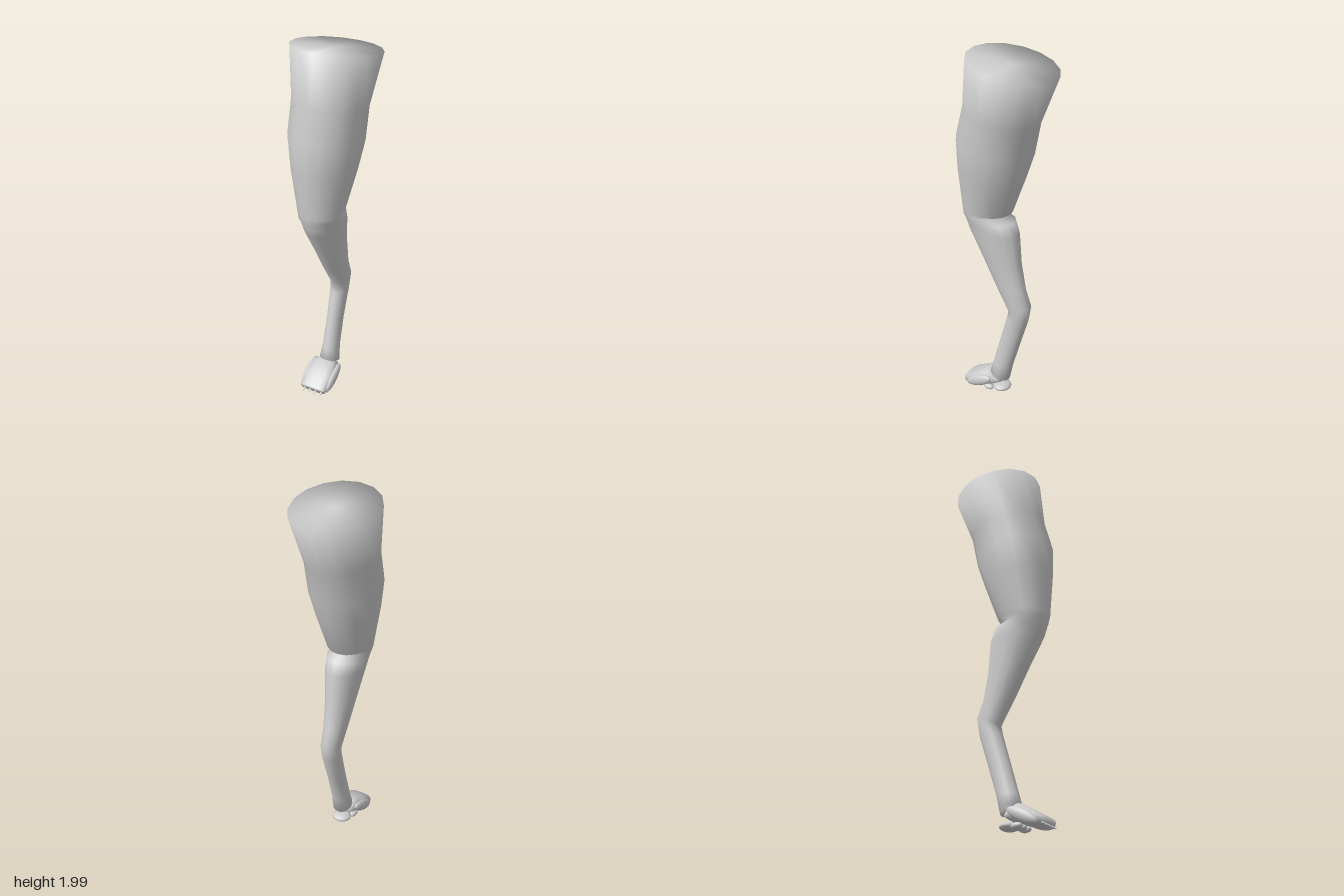
import * as THREE from 'three';

// Skin over rings [z1, y1, z2, y2, halfWidth]; each ring spans two points in the side plane
function loft(rings, sides, power = 1) {
  const pos = [], index = [];
  const bend = (v) => Math.sign(v) * Math.pow(Math.abs(v), power);
  for (const [z1, y1, z2, y2, w] of rings) {
    for (let j = 0; j < sides; j++) {
      const a = (j / sides) * Math.PI * 2, c = bend(Math.cos(a));
      pos.push(w * bend(Math.sin(a)), (y1 + y2) / 2 + c * (y1 - y2) / 2, (z1 + z2) / 2 + c * (z1 - z2) / 2);
    }
  }
  const last = (rings.length - 1) * sides, start = rings.length * sides;
  for (const [z1, y1, z2, y2] of [rings[0], rings[rings.length - 1]]) pos.push(0, (y1 + y2) / 2, (z1 + z2) / 2);
  for (let j = 0; j < sides; j++) {
    const k = (j + 1) % sides;
    for (let i = 0; i < last; i += sides) {
      index.push(i + j, i + sides + j, i + sides + k, i + j, i + sides + k, i + k);
    }
    index.push(start, j, k, start + 1, last + k, last + j);
  }
  const g = new THREE.BufferGeometry();
  g.setAttribute('position', new THREE.Float32BufferAttribute(pos, 3));
  g.setIndex(index);
  g.computeVertexNormals();
  return g;
}

export function createModel() {
  const group = new THREE.Group();
  const grey = new THREE.MeshStandardMaterial({ color: 0xcccccc });
  grey.name = 'light grey';

  const add = (name, geometry, x = 0, y = 0, z = 0, tilt = 0) => {
    const mesh = new THREE.Mesh(geometry, grey);
    mesh.name = name;
    mesh.position.set(x, y, z);
    mesh.rotation.x = tilt;
    group.add(mesh);
    return mesh;
  };
  const ball = (rx, ry, rz) => new THREE.SphereGeometry(1, 16, 10).scale(rx, ry, rz);

  // Thigh, knee fold, calf, hock and shin in one skin
  add('leg', loft([
    [0.193, 2.0, -0.277, 1.907, 0.228],
    [0.225, 1.73, -0.18, 1.66, 0.19],
    [0.272, 1.56, -0.145, 1.485, 0.19],
    [0.272, 1.39, -0.10, 1.35, 0.166],
    [0.257, 1.145, -0.024, 1.14, 0.118],
    [0.248, 1.11, 0.04, 1.125, 0.108],
    [0.238, 1.07, -0.05, 1.10, 0.106],
    [0.225, 1.025, -0.077, 1.035, 0.098],
    [0.13, 0.86, -0.093, 0.865, 0.078],
    [0.05, 0.71, -0.125, 0.717, 0.062],
    [-0.03, 0.575, -0.161, 0.627, 0.053],
    [-0.02, 0.53, -0.145, 0.53, 0.049],
    [0.03, 0.36, -0.093, 0.36, 0.043],
    [0.075, 0.2, -0.044, 0.2, 0.046],
    [0.09, 0.14, -0.02, 0.1, 0.055],
  ], 16));

  // Paw, sloping down to a blunt front
  add('paw', loft([
    [0.06, 0.13, 0.01, 0.085, 0.05],
    [0.10, 0.145, 0.05, 0.06, 0.072],
    [0.17, 0.105, 0.14, 0.03, 0.083],
    [0.246, 0.06, 0.222, 0.01, 0.075],
  ], 16, 0.75));

  // Outer toes on both sides
  for (const s of [1, -1]) add(s > 0 ? 'leftToe' : 'rightToe', ball(0.022, 0.032, 0.095), s * 0.073, 0.07, 0.135, 0.47);

  // Claws
  for (let i = 0; i < 4; i++) {
    add('claw', new THREE.ConeGeometry(0.011, 0.055, 8), (i - 1.5) * 0.034, 0.023, 0.235, 2.0);
  }

  // Pads under the paw
  add('heelPad', ball(0.055, 0.022, 0.05), 0, 0.042, 0.023);
  for (const x of [-0.042, 0, 0.042]) add('toePad', ball(0.02, 0.017, 0.032), x, 0.031, 0.088);

  return group;
}
